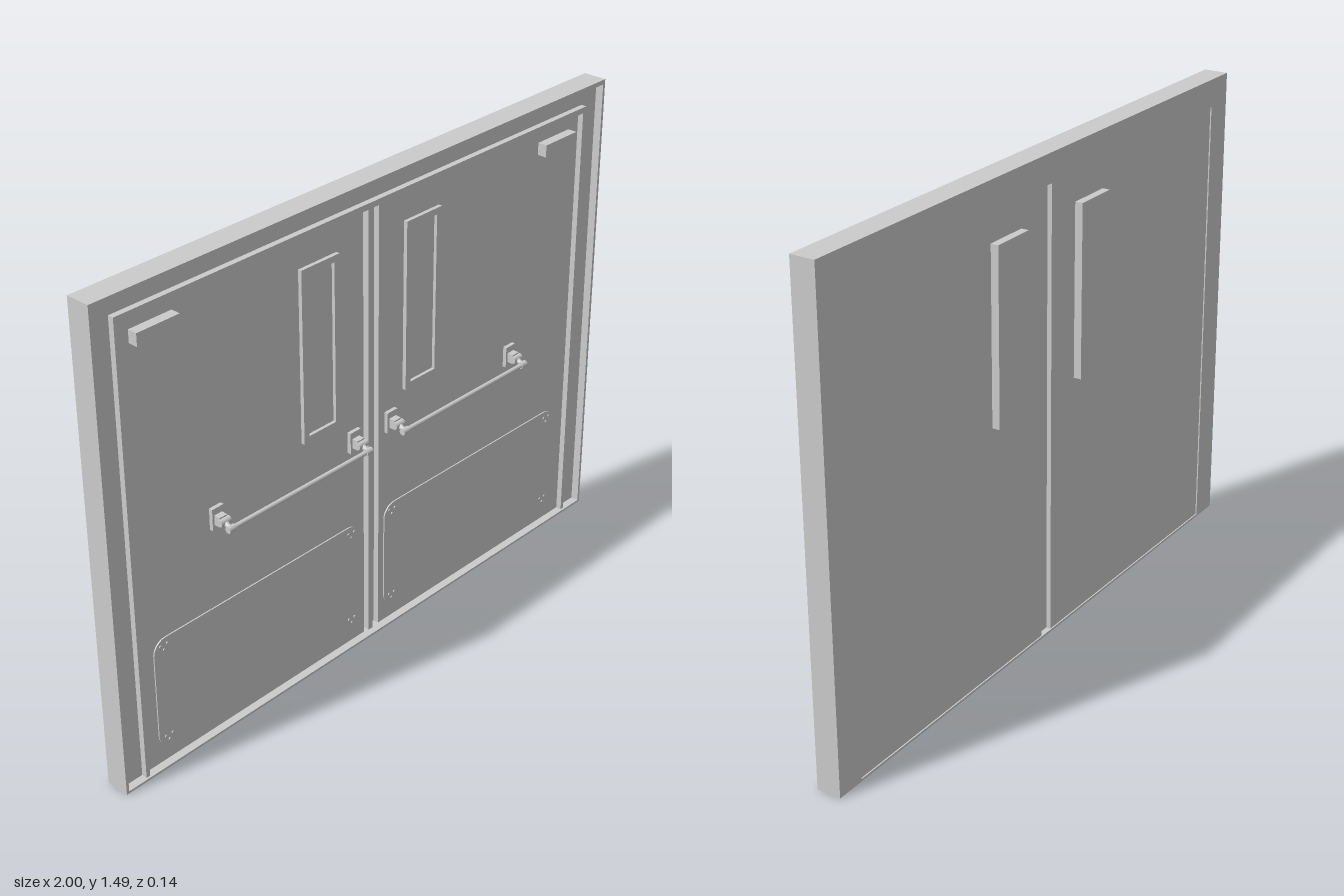
import * as THREE from 'three';

const material = new THREE.MeshStandardMaterial({ color: 0xcccccc });

function add(parent, name, geometry) {
  const mesh = new THREE.Mesh(geometry, material);
  mesh.name = name;
  parent.add(mesh);
  return mesh;
}

// Box given by its limits on each axis
function box(parent, name, x0, x1, y0, y1, z0, z1) {
  const mesh = add(parent, name, new THREE.BoxGeometry(x1 - x0, y1 - y0, z1 - z0));
  mesh.position.set((x0 + x1) / 2, (y0 + y1) / 2, (z0 + z1) / 2);
  return mesh;
}

function extrude(parent, name, shape, z0, z1) {
  const geometry = new THREE.ExtrudeGeometry(shape, { depth: z1 - z0, bevelEnabled: false, curveSegments: 8 });
  geometry.translate(0, 0, z0);
  return add(parent, name, geometry);
}

// Doorway-shaped band: outer half width and height, inner half width and height
function doorway(parent, name, xo, yo, xi, yi, z0, z1) {
  const points = [[-xo, 0], [-xi, 0], [-xi, yi], [xi, yi], [xi, 0], [xo, 0], [xo, yo], [-xo, yo]];
  return extrude(parent, name, new THREE.Shape(points.map(([x, y]) => new THREE.Vector2(x, y))), z0, z1);
}

function rectangle(x0, x1, y0, y1, Type = THREE.Shape) {
  return new Type([[x0, y0], [x1, y0], [x1, y1], [x0, y1]].map(([x, y]) => new THREE.Vector2(x, y)));
}

function roundedRectangle(x0, x1, y0, y1, r) {
  const s = new THREE.Shape();
  s.absarc(x1 - r, y0 + r, r, -Math.PI / 2, 0);
  s.absarc(x1 - r, y1 - r, r, 0, Math.PI / 2);
  s.absarc(x0 + r, y1 - r, r, Math.PI / 2, Math.PI);
  s.absarc(x0 + r, y0 + r, r, Math.PI, Math.PI * 1.5);
  return s;
}

// Round rod between two points
function rod(parent, name, from, to, radius) {
  const a = new THREE.Vector3(...from), b = new THREE.Vector3(...to);
  const mesh = add(parent, name, new THREE.CylinderGeometry(radius, radius, a.distanceTo(b), 16));
  mesh.position.copy(a).lerp(b, 0.5);
  mesh.quaternion.setFromUnitVectors(new THREE.Vector3(0, 1, 0), b.sub(a).normalize());
  return mesh;
}

function pushBar(parent, x0, x1) {
  const bar = new THREE.Group();
  bar.name = 'pushBar';
  parent.add(bar);
  for (const x of [x0, x1]) {
    box(bar, 'mountPlate', x - 0.021, x + 0.021, 0.668, 0.735, 0, 0.012);
    box(bar, 'mountBlock', x - 0.014, x + 0.014, 0.685, 0.715, 0.012, 0.032);
    rod(bar, 'pivot', [x - 0.018, 0.7, 0.034], [x + 0.018, 0.7, 0.034], 0.011);
    rod(bar, 'arm', [x, 0.7, 0.034], [x, 0.688, 0.06], 0.008);
    rod(bar, 'barEnd', [x - 0.012, 0.688, 0.06], [x + 0.012, 0.688, 0.06], 0.01);
  }
  rod(bar, 'handleBar', [x0, 0.688, 0.06], [x1, 0.688, 0.06], 0.007);
}

function door(parent, side, inner, barInner, barOuter) {
  const leaf = new THREE.Group();
  leaf.name = side > 0 ? 'leftDoor' : 'rightDoor';
  parent.add(leaf);
  const span = (a, b) => [side * a, side * b].sort((p, q) => p - q);

  const [d0, d1] = span(inner, 0.908);
  box(leaf, 'doorPanel', d0, d1, 0.007, 1.398, -0.046, 0);

  // Window: raised surround in front, glass, and cover on the back
  const [w0, w1] = span(0.135, 0.28);
  const surround = rectangle(w0, w1, 0.78, 1.31);
  surround.holes.push(rectangle(w0 + 0.02, w1 - 0.02, 0.8, 1.29, THREE.Path));
  extrude(leaf, 'windowSurround', surround, 0, 0.012);
  box(leaf, 'windowGlass', w0 + 0.02, w1 - 0.02, 0.8, 1.29, -0.01, 0.002);
  box(leaf, 'windowCover', w0, w1, 0.78, 1.31, -0.07, -0.046);

  // Closer housing near the top hinge corner
  const [c0, c1] = span(0.722, 0.864);
  box(leaf, 'doorCloser', c0, c1, 1.322, 1.36, 0, 0.03);

  // Kick plate with a cluster of three screws in each corner
  const [k0, k1] = span(0.055, 0.855);
  extrude(leaf, 'kickPlate', roundedRectangle(k0, k1, 0.055, 0.415, 0.045), 0, 0.004);
  for (const x of [0.088, 0.82]) {
    for (const y of [0.085, 0.388]) {
      for (const [dx, dy] of [[-0.012, 0.006], [0.012, 0.006], [0, -0.01]]) {
        const sx = side * x + dx;
        rod(leaf, 'kickPlateScrew', [sx, y + dy, 0.002], [sx, y + dy, 0.007], 0.004);
      }
    }
  }

  const [b0, b1] = span(barInner, barOuter);
  pushBar(leaf, b0, b1);
}

export function createModel() {
  const model = new THREE.Group();
  model.name = 'doubleDoor';

  // Frame: deep body, thin outer lip and raised bead round the opening
  const frame = new THREE.Group();
  frame.name = 'frame';
  model.add(frame);
  doorway(frame, 'frameBody', 1, 1.485, 0.908, 1.398, -0.05, 0);
  doorway(frame, 'outerLip', 1, 1.485, 0.991, 1.471, 0, 0.025);
  doorway(frame, 'innerBead', 0.922, 1.42, 0.909, 1.402, 0, 0.018);
  box(frame, 'sill', -1, 1, 0, 0.007, -0.05, 0.025);

  // Meeting post: recessed web, front ridge and back strip
  const post = new THREE.Group();
  post.name = 'meetingPost';
  model.add(post);
  box(post, 'postWeb', -0.03, 0.033, 0.007, 1.398, -0.032, -0.018);
  box(post, 'postRidge', -0.013, 0.004, 0.007, 1.398, -0.018, 0.004);
  box(post, 'postBackStrip', -0.03, -0.015, 0.007, 1.398, -0.046, -0.032);

  door(model, 1, 0.033, 0.08, 0.615);
  door(model, -1, 0.03, 0.075, 0.61);
  return model;
}
